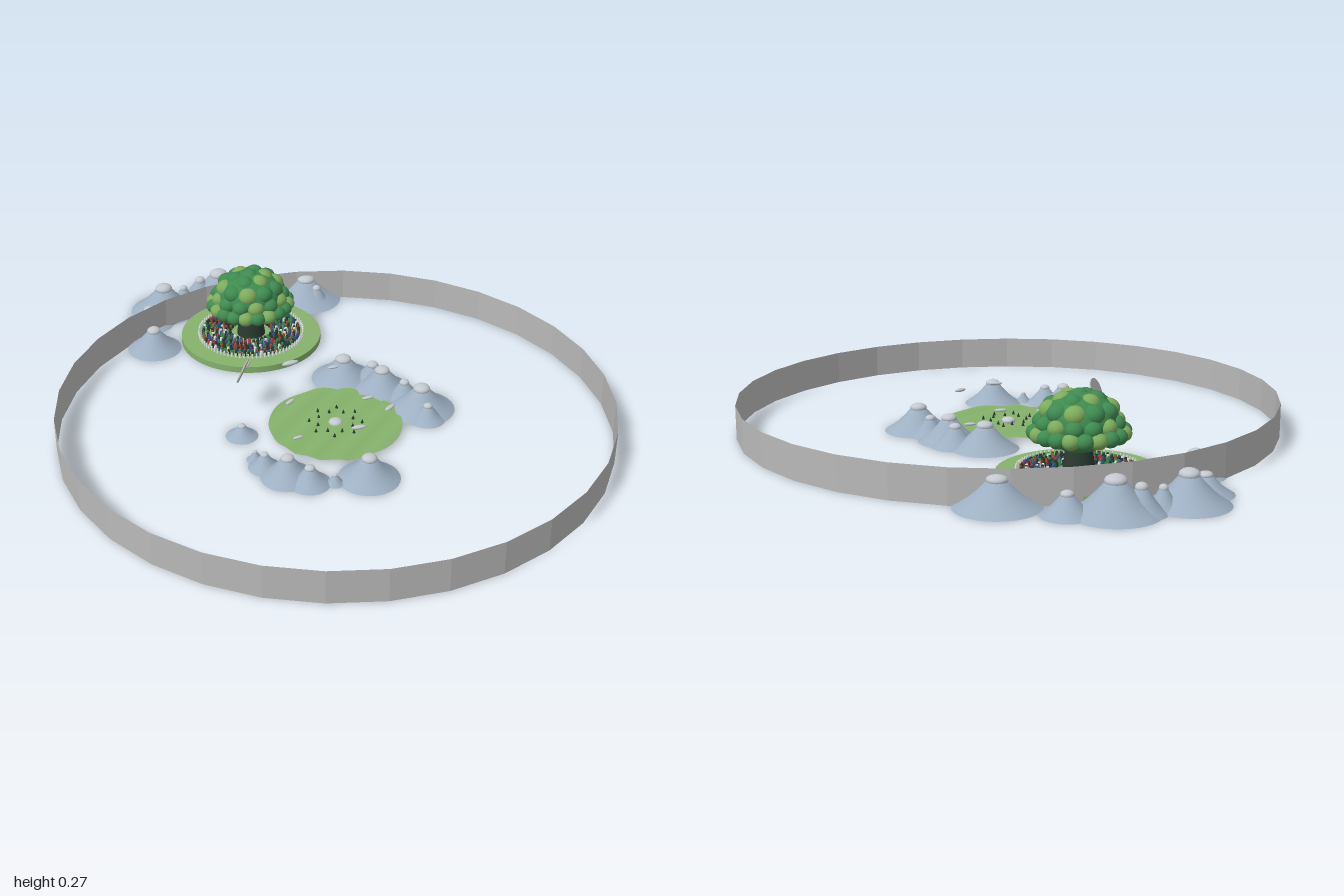
import * as THREE from 'three';
import { mergeGeometries } from 'three/addons/utils/BufferGeometryUtils.js';

const mat = (name, color, side = THREE.FrontSide) => {
  const m = new THREE.MeshStandardMaterial({ color, side });
  m.name = name;
  return m;
};

export function createModel() {
  const root = new THREE.Group();
  root.name = 'islandGarden';
  const steel = mat('steel grey', 0xb9b9b9, THREE.DoubleSide);
  const rock = mat('rock blue grey', 0x9dafc2);
  const snow = mat('pale peak', 0xc3c9d0);
  const grass = mat('meadow green', 0x86b26c, THREE.DoubleSide);
  const leafDark = mat('deep leaf green', 0x3f8a50);
  const leafLight = mat('light leaf green', 0x7dab5c);
  const dark = mat('dark soil', 0x2a3a30);
  const white = mat('white', 0xe4e6e6);
  const red = mat('red', 0xb0443a);
  const blue = mat('blue', 0x35568c);

  const add = (parent, name, geo, material, x = 0, y = 0, z = 0) => {
    const m = new THREE.Mesh(geo, material);
    m.name = name;
    m.position.set(x, y, z);
    parent.add(m);
    return m;
  };
  const group = (name, x = 0, z = 0) => {
    const g = new THREE.Group();
    g.name = name;
    g.position.set(x, 0, z);
    root.add(g);
    return g;
  };

  // Open boundary wall
  const wall = new THREE.CylinderGeometry(0.885, 0.885, 0.11, 32, 1, true).toNonIndexed();
  wall.computeVertexNormals();
  add(root, 'boundaryWall', wall, steel, 0, 0.055, 0.115);

  // Rippled meadow
  const meadow = group('meadow', 0, 0.115);
  const field = new THREE.RingGeometry(0.001, 0.215, 64, 24).rotateX(-Math.PI / 2);
  const p = field.attributes.position;
  for (let i = 0; i < p.count; i++) {
    const across = p.getX(i) * 0.48 + p.getZ(i) * 0.88;
    p.setY(i, 0.0035 * Math.sin((across * 2 * Math.PI) / 0.085));
  }
  field.computeVertexNormals();
  add(meadow, 'rippledField', field, grass, 0, 0.012, 0);
  add(meadow, 'centreStone', new THREE.SphereGeometry(0.023, 16, 10).scale(1, 0.55, 1), snow, 0, 0.014, 0);

  // Small shrubs in two loose circles
  for (let i = 0; i < 16; i++) {
    const a = i * 0.3927 + 0.2, r = i % 2 ? 0.085 : 0.06;
    add(meadow, 'shrub', new THREE.ConeGeometry(0.005, 0.014, 6), dark, r * Math.cos(a), 0.021, r * Math.sin(a));
  }

  // Flat pebbles, some hovering
  const pebble = new THREE.SphereGeometry(1, 14, 8);
  [[-0.015, 0.108, -0.145, 0.03], [0.12, 0.1, 0.245, 0.024], [-0.025, 0.1, 0.29, 0.024], [-0.16, 0.03, 0.15, 0.018],
    [-0.075, 0.03, -0.045, 0.022], [0.155, 0.03, 0.065, 0.02], [0.1, 0.1, -0.06, 0.02]].forEach(([x, y, z, s], i) => {
    const m = add(root, 'pebble', pebble, snow, x, y, z);
    m.scale.set(s, s * 0.25, s * 0.35);
    m.rotation.y = i === 0 ? -0.1 : Math.sin(i * 2) * 0.4;
  });

  // Tilted floating discs
  const tilt = new THREE.Quaternion().setFromUnitVectors(
    new THREE.Vector3(0, 1, 0), new THREE.Vector3(-0.66, 0.36, -0.66).normalize());
  [[-0.205, 0.148, -0.122, 0.042], [-0.15, 0.122, -0.187, 0.016]].forEach(([x, y, z, r]) => {
    add(root, 'floatingDisc', new THREE.CylinderGeometry(r, r, 0.004, 32), steel, x, y, z).quaternion.copy(tilt);
  });

  // Mountains: flared cone with a rounded pale summit
  const profile = [[0, 0], [1, 0], [0.8, 0.15], [0.6, 0.33], [0.4, 0.56], [0.25, 0.76], [0.16, 0.84], [0, 0.86]]
    .map(([x, y]) => new THREE.Vector2(x, y));
  const slope = new THREE.LatheGeometry(profile.slice(1), 32);
  const underside = new THREE.CircleGeometry(1, 32).rotateX(Math.PI / 2);
  const summit = new THREE.SphereGeometry(0.25, 16, 10).scale(1, 0.65, 1);
  const mountains = group('mountains');
  // x, z, radius, height
  [[-0.12, -0.875, 0.122, 0.108], [0.1, -0.865, 0.13, 0.114], [-0.21, -0.81, 0.085, 0.07],
    [-0.275, -0.64, 0.093, 0.085], [0.37, -0.685, 0.127, 0.096], [0.225, -0.825, 0.078, 0.072],
    [0.035, -0.89, 0.075, 0.09], [-0.035, -0.885, 0.055, 0.075], [0.385, -0.635, 0.06, 0.072],
    [0.18, -0.125, 0.107, 0.09], [0.255, -0.06, 0.078, 0.075], [0.25, 0.005, 0.1, 0.09],
    [0.295, 0.17, 0.11, 0.092], [0.275, 0.235, 0.058, 0.06], [0.285, 0.085, 0.065, 0.07],
    [-0.285, 0.01, 0.052, 0.045], [-0.31, 0.2, 0.052, 0.055], [-0.315, 0.15, 0.028, 0.035],
    [-0.275, 0.28, 0.084, 0.08], [-0.235, 0.345, 0.066, 0.065], [-0.17, 0.385, 0.03, 0.035],
    [-0.067, 0.415, 0.097, 0.086]].forEach(([x, z, r, h]) => {
    const g = new THREE.Group();
    g.name = 'mountain';
    g.position.set(x, 0, z);
    g.scale.set(r, h, r);
    add(g, 'slope', slope, rock).scale.x = 1;
    add(g, 'underside', underside, rock);
    add(g, 'summit', summit, snow, 0, 0.82, 0);
    mountains.add(g);
  });

  // Great tree on its round lawn
  const tree = group('treeIsland', 0.05, -0.53);
  add(tree, 'lawn', new THREE.CylinderGeometry(0.245, 0.245, 0.022, 64), grass, 0, 0.011, 0);
  add(tree, 'trunk', new THREE.CylinderGeometry(0.03, 0.05, 0.14, 20), dark, 0, 0.09, 0);

  // Rings of small coloured flowers, with a white border
  const beds = new Map([[dark, []], [red, []], [blue, []], [leafDark, []], [white, []]]);
  const mix = [dark, red, dark, blue, leafDark, dark, white, blue, red, dark, leafDark];
  for (let k = 0; k < 8; k++) {
    const r = 0.075 + k * 0.0155, n = Math.round((2 * Math.PI * r) / 0.0145);
    for (let i = 0; i < n; i++) {
      const a = (i / n) * Math.PI * 2 + k;
      const m = k === 7 ? white : mix[(i * 7 + k * 3 + ((i * i) % 5)) % mix.length];
      const s = k === 7 ? 0.0038 : 0.0058;
      beds.get(m).push(new THREE.CylinderGeometry(s * 0.7, s, 0.016, 6)
        .translate(r * Math.cos(a), 0.03, r * Math.sin(a)));
    }
  }
  beds.forEach((list, m) => add(tree, 'flowerRings', mergeGeometries(list), m));

  // Crown: domed core covered in leaf clumps
  const crown = new THREE.Group();
  crown.name = 'crown';
  tree.add(crown);
  add(crown, 'crownCore', new THREE.SphereGeometry(0.118, 32, 20).scale(1, 0.76, 1), leafDark, 0, 0.172, 0);
  const clump = new THREE.SphereGeometry(1, 16, 12);
  // ring radius, height, count, clump radius
  [[0.128, 0.143, 20, 0.027], [0.108, 0.172, 13, 0.029], [0.085, 0.208, 10, 0.034],
    [0.048, 0.233, 6, 0.032], [0.004, 0.243, 1, 0.03]].forEach(([r, y, n, s], k) => {
    for (let i = 0; i < n; i++) {
      const a = (i / n) * Math.PI * 2 + k * 0.45;
      const light = (i * 3 + k * 2) % 5 < 2;
      const m = add(crown, 'leafClump', clump, light ? leafLight : leafDark, r * Math.cos(a), y, r * Math.sin(a));
      m.scale.set(s, s * 0.9, s);
    }
  });
  return root;
}
